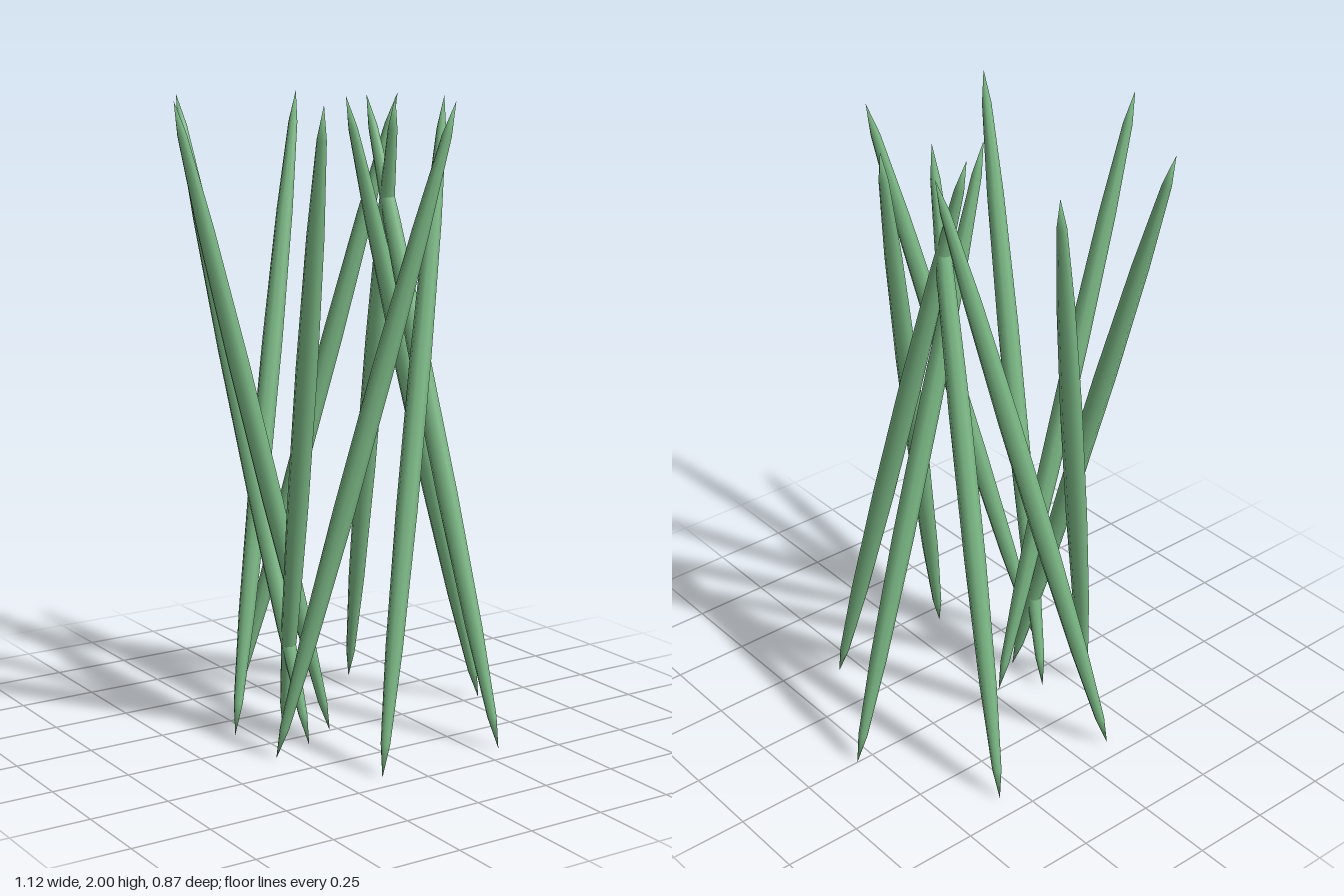
import * as THREE from 'three';

const COUNT = 10;        // spindles around the ring
const RING = 0.295;      // distance of each spindle's middle from the axis
const REACH = 0.265;     // sideways half-lean of a spindle
const GIRTH = 0.034;     // largest radius of a spindle

export function createModel() {
  const model = new THREE.Group();
  const green = new THREE.MeshStandardMaterial({ color: 0x7dbb87 });
  green.name = 'leafGreen';

  // One slender, pointed spindle shared by all ten
  const spindle = new THREE.SphereGeometry(1, 8, 7);
  spindle.scale(GIRTH, Math.hypot(1, REACH), GIRTH);
  const up = new THREE.Vector3(0, 1, 0);

  // Each spindle leans in a direction that turns twice as fast as its place on the ring
  for (let i = 0; i < COUNT; i++) {
    const place = (i / COUNT) * Math.PI * 2;
    const lean = Math.PI + 2 * place;
    const axis = new THREE.Vector3(Math.cos(lean) * REACH, 1, Math.sin(lean) * REACH).normalize();
    const mesh = new THREE.Mesh(spindle, green);
    mesh.name = `spindle${i + 1}`;
    mesh.position.set(Math.cos(place) * RING, 1, Math.sin(place) * RING);
    mesh.quaternion.setFromUnitVectors(up, axis);
    model.add(mesh);
  }
  return model;
}
